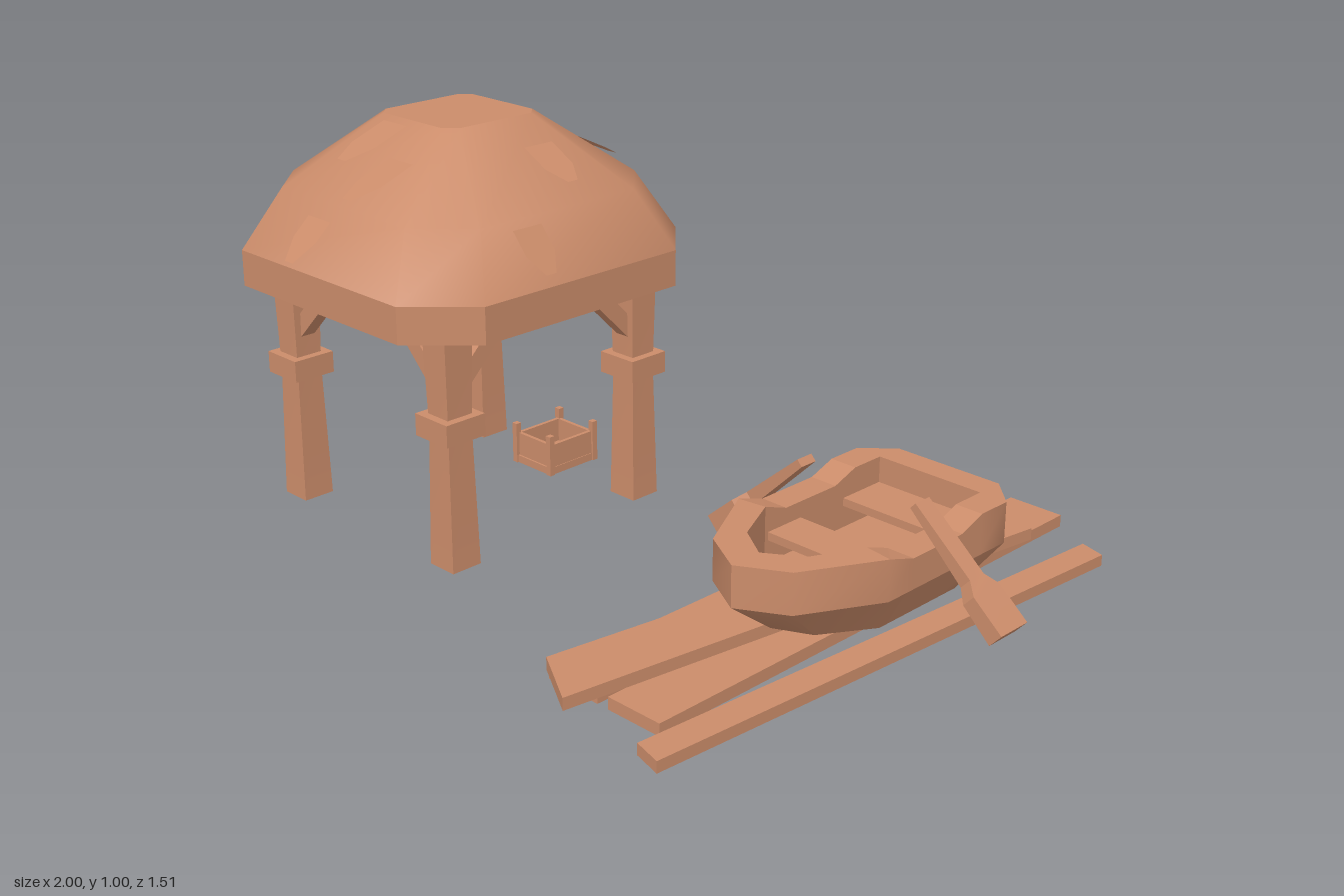
import * as THREE from 'three';
import { toCreasedNormals } from 'three/addons/utils/BufferGeometryUtils.js';

const clay = new THREE.MeshStandardMaterial({ color: 0xcb8c6a });
clay.name = 'clay';
const clayThin = new THREE.MeshStandardMaterial({ color: 0xcb8c6a, side: THREE.DoubleSide });
clayThin.name = 'clay thin';

// Skin between rings of [x, y, z], counterclockwise from above, with optional end caps
function loft(rings, { bottom = true, top = true, smooth = false } = {}) {
  const n = rings[0].length, index = [], last = (rings.length - 1) * n;
  for (let i = 0; i < rings.length - 1; i++) {
    for (let j = 0; j < n; j++) {
      const a = i * n + j, b = i * n + (j + 1) % n;
      index.push(a, b, b + n, a, b + n, a + n);
    }
  }
  for (let j = 1; j < n - 1; j++) {
    if (bottom) index.push(0, j + 1, j);
    if (top) index.push(last, last + j, last + j + 1);
  }
  const g = new THREE.BufferGeometry();
  g.setAttribute('position', new THREE.Float32BufferAttribute(rings.flat(2), 3));
  g.setIndex(index);
  return toCreasedNormals(g, smooth ? 0.9 : 0.05);
}

const octagon = (h, c, y) => {
  const k = h - c;
  return [[h, k], [h, -k], [k, -h], [-k, -h], [-h, -k], [-h, k], [-k, h], [k, h]].map(([x, z]) => [x, y, z]);
};
const rect = (hx, hz, y) => [[hx, y, hz], [hx, y, -hz], [-hx, y, -hz], [-hx, y, hz]];

function add(parent, name, geometry, x = 0, y = 0, z = 0, material = clay) {
  const m = new THREE.Mesh(geometry, material);
  m.name = name;
  m.position.set(x, y, z);
  parent.add(m);
  return m;
}
const box = (parent, name, w, h, d, x, y, z) => add(parent, name, new THREE.BoxGeometry(w, h, d), x, y, z);

function buildHut() {
  const hut = new THREE.Group();
  hut.name = 'hut';
  hut.position.set(-0.55, 0, 0.14);

  // Roof: flat rim, smooth dome, flat cap
  const lip = octagon(0.44, 0.14, 0.68), crown = octagon(0.14, 0.03, 1);
  add(hut, 'roofRim', loft([octagon(0.44, 0.14, 0.59), lip], { top: false }));
  add(hut, 'roofDome', loft([lip, octagon(0.358, 0.12, 0.83), crown], { bottom: false, top: false, smooth: true }));
  add(hut, 'roofCap', loft([octagon(0.14, 0.03, 0.9999), crown]));

  // Posts with collars and two braces each
  const post = loft([rect(0.042, 0.042, 0), rect(0.035, 0.035, 0.35), rect(0.041, 0.041, 0.6)]);
  const braceShape = new THREE.Shape([[0.03, 0.43], [0.195, 0.595], [0.135, 0.595], [0.03, 0.49]].map(p => new THREE.Vector2(...p)));
  const brace = new THREE.ExtrudeGeometry(braceShape, { depth: 0.04, bevelEnabled: false }).translate(0, 0, -0.02);
  for (const sx of [-1, 1]) for (const sz of [-1, 1]) {
    const x = sx * 0.295, z = sz * 0.295;
    add(hut, 'post', post, x, 0, z);
    box(hut, 'postCollar', 0.114, 0.055, 0.114, x, 0.357, z);
    add(hut, 'brace', brace, x, 0, z).rotation.y = sx > 0 ? Math.PI : 0;
    add(hut, 'brace', brace, x, 0, z).rotation.y = sz * Math.PI / 2;
  }

  // Loose thatch flakes: [facing angle, sideways, base distance, base height, tip distance, tip height]
  const flakes = [
    [0, -0.04, 0.16, 0.99, 0.32, 0.93], [0, 0.07, 0.23, 0.93, 0.39, 0.87], [0, -0.06, 0.35, 0.82, 0.47, 0.71],
    [1, 0.06, 0.22, 0.945, 0.34, 0.88], [1, -0.11, 0.36, 0.82, 0.45, 0.715],
    [2, 0.05, 0.2, 0.955, 0.345, 0.88], [2, -0.11, 0.25, 0.92, 0.405, 0.845], [2, 0.13, 0.36, 0.82, 0.48, 0.71],
    [3, -0.04, 0.17, 0.975, 0.285, 0.9], [3, 0.07, 0.36, 0.82, 0.45, 0.715],
  ];
  for (const [turn, side, r0, y0, r1, y1] of flakes) {
    const L = Math.hypot(r1 - r0, y1 - y0), w = 0.043;
    const shape = new THREE.Shape([[-w, 0], [-w, -L * 0.6], [-w * 0.35, -L], [w * 0.35, -L], [w, -L * 0.6], [w, 0]].map(p => new THREE.Vector2(...p)));
    const g = new THREE.ShapeGeometry(shape);
    g.rotateX(-Math.atan2(r1 - r0, y0 - y1));
    g.translate(side, y0, r0).rotateY(turn * Math.PI / 2);
    add(hut, 'thatchFlake', g, 0, 0, 0, clayThin);
  }
  return hut;
}

// Small open crate with corner pegs
function buildCrate() {
  const crate = new THREE.Group();
  crate.name = 'crate';
  crate.position.set(-0.55, 0, -0.15);
  box(crate, 'crateBase', 0.14, 0.02, 0.16, 0, 0.01, 0);
  for (const s of [-1, 1]) {
    box(crate, 'crateEnd', 0.13, 0.065, 0.01, 0, 0.05, s * 0.07);
    box(crate, 'crateSide', 0.01, 0.065, 0.15, s * 0.063, 0.05, 0);
    for (const t of [-1, 1]) box(crate, 'cratePeg', 0.016, 0.11, 0.016, s * 0.066, 0.055, t * 0.076);
  }
  return crate;
}

function buildBoat() {
  const boat = new THREE.Group();
  boat.name = 'boat';
  boat.position.x = 0.573;
  // Half outlines from bow to stern, mirrored to full rings
  const ring = (half, y, kx = 1, kz = 1) => {
    const pts = half.map(([x, z], i) => [x * kx, typeof y === 'number' ? y : y(i), z * kz]);
    return [...pts, ...pts.slice(1).reverse().map(([x, yy, z]) => [-x, yy, z])];
  };
  const outer = [[0, 0.365], [0.115, 0.3], [0.217, 0.11], [0.217, 0.03], [0.217, -0.14], [0.217, -0.21], [0.217, -0.3], [0.145, -0.37]];
  const inner = [[0, 0.28], [0.085, 0.225], [0.145, 0.1], [0.145, 0.03], [0.145, -0.14], [0.145, -0.21], [0.145, -0.28], [0.145, -0.3]];
  const rimY = i => (i === 3 || i === 4 ? 0.235 : 0.26);
  const open = { bottom: false, top: false };
  add(boat, 'lowerHull', loft([ring(outer, 0.065, 0.76, 0.65), ring(outer, 0.16)], { top: false, smooth: true }));
  add(boat, 'upperHull', loft([ring(outer, 0.16), ring(outer, rimY)], { ...open, smooth: true }));
  add(boat, 'gunwale', loft([ring(outer, rimY), ring(inner, rimY)], open));
  add(boat, 'innerHull', loft([ring(inner, rimY), ring(inner, 0.12)], { bottom: false }));
  box(boat, 'bench', 0.29, 0.02, 0.13, 0, 0.185, -0.235);
  box(boat, 'bench', 0.29, 0.02, 0.11, 0, 0.185, 0.035);

  // Oars hanging over both sides
  const oar = loft([rect(0.022, 0.046, 0), rect(0.019, 0.046, 0.1), rect(0.017, 0.024, 0.135), rect(0.01, 0.024, 0.335)]);
  for (const s of [-1, 1]) add(boat, 'oar', oar, s * 0.41, 0.095, -0.055).rotation.z = s * 0.835;
  return boat;
}

// Planks: plan corners counterclockwise from above, bottom and top heights
function buildPlanks() {
  const planks = new THREE.Group();
  planks.name = 'planks';
  const list = [
    [[[0.46, 0.645], [0.475, -0.755], [0.325, -0.76], [0.31, 0.645]], 0, 0.022],
    [[[0.642, 0.645], [0.642, -0.755], [0.492, -0.755], [0.492, 0.645]], 0, 0.03],
    [[[0.47, 0.75], [0.672, -0.585], [0.53, -0.67], [0.32, 0.66]], 0.031, 0.061],
    [[[0.735, 0.745], [0.837, -0.64], [0.77, -0.66], [0.66, 0.725]], 0, 0.028],
  ];
  for (const [pts, y0, y1] of list) {
    add(planks, 'plank', loft([y0, y1].map(y => pts.map(([x, z]) => [x, y, z]))));
  }
  return planks;
}

export function createModel() {
  const model = new THREE.Group();
  model.name = 'hutAndBoat';
  model.add(buildHut(), buildCrate(), buildBoat(), buildPlanks());
  return model;
}
